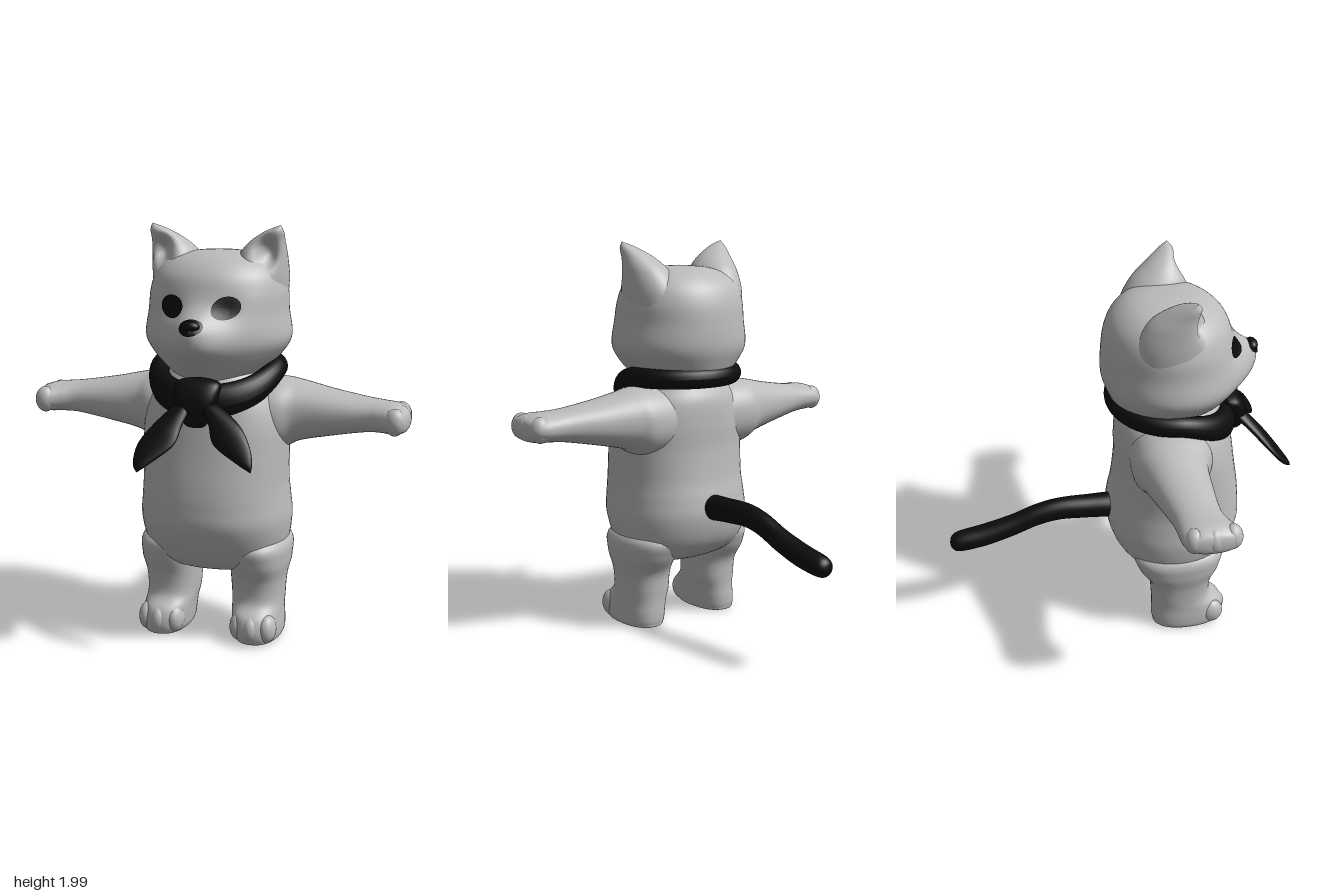
import * as THREE from 'three';

const fur = new THREE.MeshStandardMaterial({ color: 0xbcbcbc });
fur.name = 'greyFur';
const black = new THREE.MeshStandardMaterial({ color: 0x0c0c0c });
black.name = 'black';

// Catmull-Rom blend of four numbers
const blend = (a, b, c, d, f) =>
  b + 0.5 * f * (c - a + f * (2 * a - 5 * b + 4 * c - d + f * (3 * (b - c) + d - a)));

// Directions of a loft: (along, across, depth) to a point
const UP = (t, a, b) => [a, t, b];
const SIDE = (t, a, b) => [t, b, a];
const BACK = (t, a, b) => [b, a, t];

// Smooth skin over oval sections [along, centreA, centreB, radiusA, radiusB]
function loft(sections, axis = UP, power = 2, sides = 40, steps = 6) {
  const pos = [], index = [], n = sections.length;
  const at = (i) => sections[Math.min(n - 1, Math.max(0, i))];
  const rings = (n - 1) * steps;
  for (let r = 0; r <= rings; r++) {
    const i = Math.min(n - 2, Math.floor(r / steps)), f = r / steps - i;
    const s = at(i).map((_, k) => blend(at(i - 1)[k], at(i)[k], at(i + 1)[k], at(i + 2)[k], f));
    for (let j = 0; j < sides; j++) {
      const w = (j / sides) * Math.PI * 2, c = Math.cos(w), d = Math.sin(w);
      const round = (v) => Math.sign(v) * Math.abs(v) ** (2 / power);
      pos.push(...axis(s[0], s[1] + Math.max(0, s[3]) * round(c), s[2] + Math.max(0, s[4]) * round(d)));
      if (r < rings) {
        const p = r * sides + j, q = r * sides + ((j + 1) % sides);
        index.push(p, p + sides, q, q, p + sides, q + sides);
      }
    }
  }
  const g = new THREE.BufferGeometry();
  g.setAttribute('position', new THREE.Float32BufferAttribute(pos, 3));
  g.setIndex(index);
  g.computeVertexNormals();
  return g;
}

// Move every vertex by a rule
function reshape(g, rule) {
  const p = g.attributes.position, v = new THREE.Vector3();
  for (let i = 0; i < p.count; i++) {
    rule(v.fromBufferAttribute(p, i));
    p.setXYZ(i, v.x, v.y, v.z);
  }
  g.computeVertexNormals();
  return g;
}

// Copy to the other side, keeping faces outward
function mirror(g) {
  const m = g.clone().scale(-1, 1, 1), ix = m.index.array;
  for (let i = 0; i < ix.length; i += 3) [ix[i], ix[i + 1]] = [ix[i + 1], ix[i]];
  m.computeVertexNormals();
  return m;
}

const bump = (dx, dy) => Math.exp(-dx * dx - dy * dy);
const ball = (x, y, z, rx, ry, rz) =>
  new THREE.SphereGeometry(1, 28, 20).scale(rx, ry, rz).translate(x, y, z);

export function createModel() {
  const model = new THREE.Group();
  const add = (name, geometry, material = fur) => {
    const mesh = new THREE.Mesh(geometry, material);
    mesh.name = name;
    model.add(mesh);
    return mesh;
  };
  const pair = (name, geometry, material) => {
    add('left' + name, geometry, material);
    add('right' + name, mirror(geometry), material);
  };

  // Torso with round belly
  add('torso', loft([
    [0.33, 0, 0.3, 0, 0], [0.35, 0, 0.3, 0.2, 0.14], [0.4, 0, 0.29, 0.31, 0.235],
    [0.48, 0, 0.285, 0.35, 0.3], [0.6, 0, 0.295, 0.367, 0.343], [0.7, 0, 0.3, 0.36, 0.34],
    [0.8, 0, 0.305, 0.353, 0.325], [0.95, 0, 0.3, 0.355, 0.305], [1.08, 0, 0.29, 0.35, 0.295],
    [1.2, 0, 0.285, 0.31, 0.28], [1.28, 0, 0.28, 0.25, 0.24], [1.36, 0, 0.27, 0.2, 0.2],
  ], UP, 2.2, 56));

  // Legs and toes
  pair('Leg', loft([
    [0.008, 0.235, 0.34, 0, 0], [0.01, 0.235, 0.34, 0.09, 0.16], [0.03, 0.235, 0.345, 0.112, 0.187],
    [0.08, 0.232, 0.348, 0.118, 0.195], [0.14, 0.226, 0.34, 0.12, 0.185], [0.2, 0.22, 0.31, 0.125, 0.158],
    [0.3, 0.22, 0.305, 0.132, 0.165], [0.4, 0.225, 0.295, 0.145, 0.215], [0.5, 0.2, 0.29, 0.155, 0.22],
    [0.58, 0.2, 0.29, 0, 0],
  ], UP, 2.3));
  for (let i = -1; i <= 1; i++) {
    pair('Toe', ball(0.235 + i * 0.07, 0.085, 0.49 - Math.abs(i) * 0.025, 0.045, 0.07, 0.062));
  }

  // Arms and fingers
  pair('Arm', loft([
    [0.1, 0.24, 1.1, 0.2, 0.18], [0.3, 0.225, 1.105, 0.2, 0.175], [0.4, 0.215, 1.12, 0.165, 0.145],
    [0.55, 0.225, 1.122, 0.14, 0.112], [0.72, 0.24, 1.125, 0.118, 0.082], [0.8, 0.255, 1.125, 0.125, 0.074],
    [0.87, 0.275, 1.123, 0.14, 0.07], [0.915, 0.28, 1.12, 0.12, 0.055], [0.932, 0.28, 1.12, 0.06, 0.03],
    [0.935, 0.28, 1.12, 0, 0],
  ], SIDE, 2.2));
  for (let i = -1; i <= 1; i++) {
    pair('Finger', ball(0.89 - Math.abs(i) * 0.012, 1.123, 0.28 + i * 0.088, 0.05, 0.064, 0.048));
  }

  // Head with the muzzle and nose bridge pushed forward
  const head = add('head', reshape(loft([
    [1.24, 0, 0.27, 0.12, 0.2], [1.32, 0, 0.26, 0.23, 0.27], [1.4, 0, 0.26, 0.31, 0.31],
    [1.48, 0, 0.26, 0.352, 0.333], [1.6, 0, 0.257, 0.337, 0.328], [1.7, 0, 0.25, 0.33, 0.307],
    [1.78, 0, 0.25, 0.3, 0.272], [1.84, 0, 0.25, 0.235, 0.205], [1.87, 0, 0.25, 0.13, 0.12],
    [1.88, 0, 0.25, 0, 0],
  ], UP, 2, 72, 8), (v) => {
    if (v.z < 0.3) return;
    v.z += 0.095 * bump(v.x / 0.16, (v.y - 1.47) / 0.11);
    v.z += 0.05 * bump(v.x / 0.08, (v.y - 1.56) / 0.06);
    v.z -= 0.015 * bump((Math.abs(v.x) - 0.13) / 0.06, (v.y - 1.62) / 0.06);
  }));

  // Ears, hollowed at the front
  pair('Ear', reshape(loft([
    [1.62, 0.2, 0.22, 0.12, 0.17], [1.75, 0.205, 0.23, 0.126, 0.175], [1.85, 0.215, 0.25, 0.115, 0.142],
    [1.92, 0.243, 0.275, 0.084, 0.088], [1.97, 0.282, 0.3, 0.045, 0.042], [2, 0.315, 0.31, 0, 0],
  ], UP, 2, 48, 8), (v) => {
    if (v.z > 0.27) v.z -= Math.min(0.1, v.z - 0.27) * 0.9 * bump((v.x - 0.255) / 0.05, (v.y - 1.87) / 0.07);
  }));

  // Thin painted patch that follows the face
  const ray = new THREE.Raycaster();
  head.updateMatrixWorld();
  const patch = (x, y, rx, ry, tilt) =>
    reshape(new THREE.RingGeometry(0.001, 1, 32, 5).scale(rx, ry, 1).rotateZ(tilt).translate(x, y, 0), (v) => {
      ray.set(new THREE.Vector3(v.x, v.y, 2), new THREE.Vector3(0, 0, -1));
      v.z = ray.intersectObject(head)[0].point.z + 0.007;
    });
  pair('Eye', patch(0.13, 1.64, 0.062, 0.051, 0.2), black);
  add('nose', patch(0, 1.562, 0.057, 0.035, 0), black);
  add('noseTip', ball(0, 1.567, 0.675, 0.045, 0.026, 0.03), black);

  // Scarf: collar that drops toward the front, knot and two loose ends
  add('scarfCollar', reshape(new THREE.TorusGeometry(0.285, 0.05, 20, 72).rotateX(Math.PI / 2), (v) => {
    const f = THREE.MathUtils.smoothstep(v.z, -0.05, 0.38);
    v.y = v.y * (1.05 + 0.6 * f) + 1.325 - 0.14 * f;
    v.z = v.z * 0.985 + 0.275;
  }), black);
  add('scarfKnot', loft([
    [1.09, 0, 0.6, 0, 0], [1.1, 0, 0.605, 0.045, 0.03], [1.16, 0, 0.61, 0.08, 0.055],
    [1.24, 0, 0.595, 0.105, 0.06], [1.3, 0, 0.57, 0.1, 0.045], [1.32, 0, 0.56, 0, 0],
  ], UP, 2.6), black);
  add('scarfRightEnd', loft([
    [0.93, -0.19, 0.87, 0, 0], [0.965, -0.18, 0.835, 0.04, 0.022], [1.04, -0.135, 0.77, 0.085, 0.028],
    [1.12, -0.1, 0.7, 0.068, 0.034], [1.2, -0.05, 0.62, 0.04, 0.035], [1.22, -0.04, 0.61, 0, 0],
  ]), black);
  add('scarfLeftEnd', loft([
    [0.945, 0.318, 0.785, 0, 0], [0.985, 0.28, 0.77, 0.04, 0.02], [1.05, 0.215, 0.74, 0.085, 0.026],
    [1.13, 0.165, 0.69, 0.075, 0.03], [1.2, 0.08, 0.625, 0.045, 0.035], [1.22, 0.06, 0.61, 0, 0],
  ]), black);

  // Drooping tail
  add('tail', loft([
    [-0.88, 0.525, 0, 0, 0], [-0.87, 0.526, 0, 0.032, 0.034], [-0.83, 0.53, 0, 0.052, 0.055],
    [-0.7, 0.552, 0, 0.056, 0.06], [-0.55, 0.595, 0, 0.057, 0.055], [-0.42, 0.645, 0, 0.058, 0.053],
    [-0.3, 0.668, 0, 0.059, 0.054], [-0.15, 0.664, 0, 0.062, 0.06], [0.02, 0.655, 0, 0.06, 0.062],
    [0.04, 0.655, 0, 0, 0],
  ], BACK, 2, 28), black);

  return model;
}
